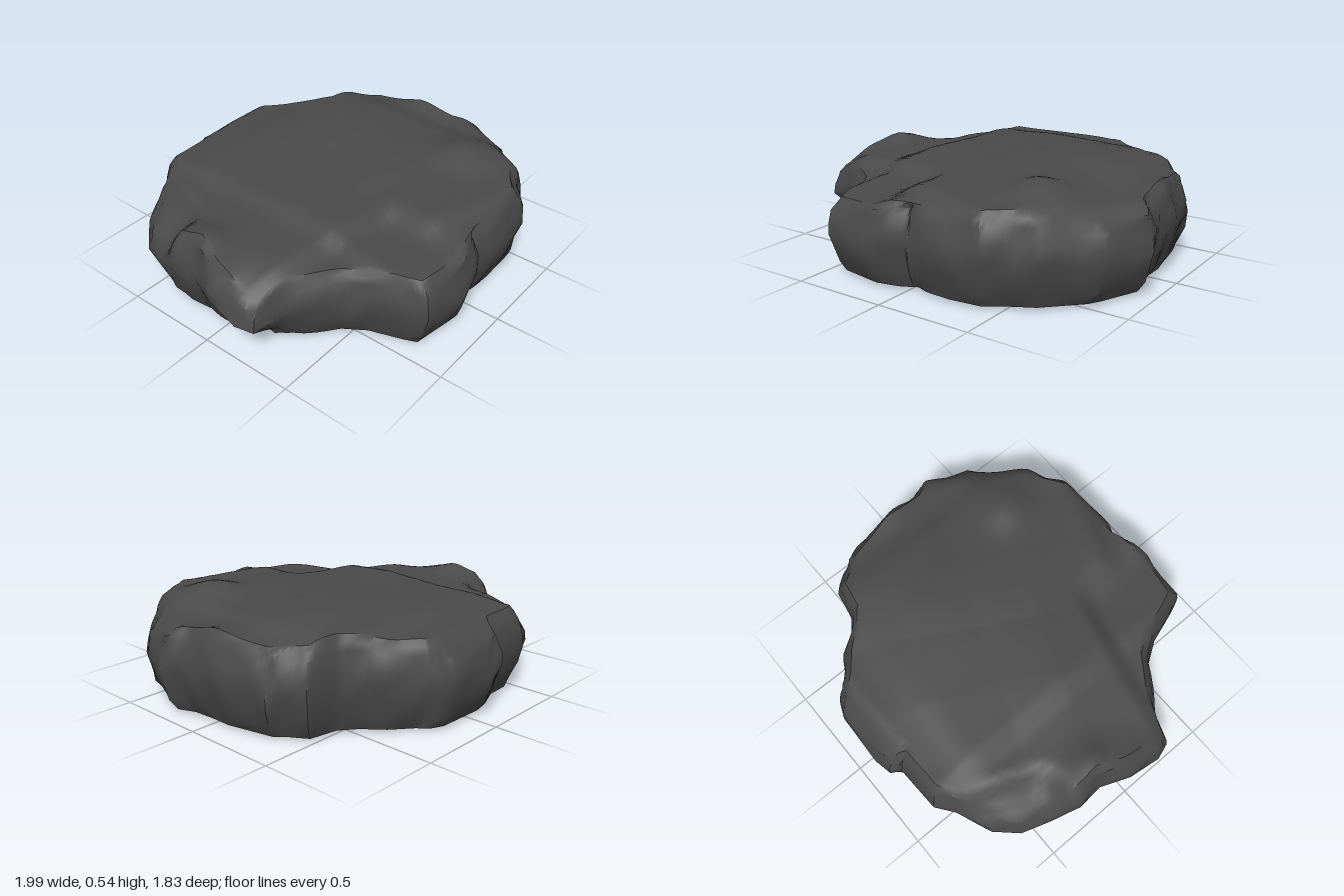
import * as THREE from 'three';
import { toCreasedNormals } from 'three/addons/utils/BufferGeometryUtils.js';

// Widest outline as x, z pairs, counter-clockwise seen from above
const OUTLINE = [
  0.99, 0.25, 0.95, 0.15, 0.94, 0.02, 0.94, -0.1, 0.9, -0.28, 0.88, -0.37, 0.84, -0.41, 0.77, -0.52,
  0.61, -0.55, 0.52, -0.62, 0.43, -0.73, 0.32, -0.82, 0.27, -0.88, 0.2, -0.91, -0.08, -0.92,
  -0.18, -0.9, -0.21, -0.85, -0.46, -0.84, -0.55, -0.77, -0.73, -0.69, -0.83, -0.58, -0.89, -0.4,
  -0.93, -0.28, -0.92, -0.14, -0.98, 0.02, -1, 0.2, -0.97, 0.29, -0.82, 0.34, -0.6, 0.5,
  -0.52, 0.62, -0.46, 0.8, -0.43, 0.87, -0.18, 0.91, 0.02, 0.87, 0.05, 0.86, 0.27, 0.87,
  0.45, 0.85, 0.55, 0.78, 0.68, 0.71, 0.86, 0.53, 0.9, 0.46,
];
const SPLIT = 4;

const step = (t) => THREE.MathUtils.smoothstep(t, -1, 1);
const bump = (x, z, cx, cz, r) => Math.exp(-((x - cx) ** 2 + (z - cz) ** 2) / (r * r));
const zigzag = (t) => 2 * Math.abs(2 * (t - Math.floor(t + 0.5))) - 1;

// Height of the upper surface
function topHeight(x, z) {
  // Plateau, peak and raised rims
  let h = 0.475 + 0.06 * bump(x, z, 0.5, 0.44, 0.15) + 0.05 * bump(x, z, 0.25, -0.15, 0.42);
  h += 0.035 * bump(x, z, 0.9, -0.05, 0.13) + 0.035 * bump(x, z, -0.82, -0.12, 0.1);
  h -= 0.035 * step((-0.47 - x) / 0.06) + 0.03 * step((x - 0.7) / 0.08);
  // Front ledge
  const frontLeft = step((z - 0.44 - 0.2 * x) / 0.06) * step((-0.12 - x) / 0.08);
  const frontRight = step((z - 0.7 - 0.3 * x) / 0.07) * step((x + 0.12) / 0.08);
  h -= (0.05 + 0.08 * Math.max(z - 0.45, 0)) * frontLeft + 0.045 * frontRight;
  // Low overhanging tip and broken back corner
  h -= 0.09 * bump(x, z, -0.98, 0.24, 0.14);
  const corner = -0.936 * (x + 0.62) - 0.351 * (z + 0.5);
  h -= (0.05 + 0.65 * Math.max(corner, 0)) * step(corner / 0.05) * step((-0.33 - z) / 0.08);
  // Worn edges at the back and front left
  h -= 0.02 * step((-0.62 - z) / 0.1) + 0.065 * step((-0.83 - z) / 0.06);
  h -= 0.08 * step((0.83 * x + 0.56 * z - 0.92) / 0.09);
  // Shallow slabs across the top
  return h + 0.006 * zigzag(1.3 * x + 0.7 * z) + 0.006 * zigzag(1.5 * z - 0.6 * x + 0.2);
}

function rockGeometry() {
  // Subdivided outline
  const rim = [];
  const n = OUTLINE.length / 2;
  for (let i = 0; i < n; i++) {
    const k = ((i + 1) % n) * 2;
    for (let s = 0; s < SPLIT; s++) {
      const t = s / SPLIT;
      rim.push([
        THREE.MathUtils.lerp(OUTLINE[2 * i], OUTLINE[k], t),
        THREE.MathUtils.lerp(OUTLINE[2 * i + 1], OUTLINE[k + 1], t),
      ]);
    }
  }
  const m = rim.length;
  const pos = [];
  const index = [];

  // Rings [scale, height] from the middle of the underside up the flank
  const flank = [[0, 0], [0.5, 0.005], [0.915, 0.015], [0.957, 0.08], [0.98, 0.16], [1, 0.25], [0.993, 0.32], [0.97, 0.39], [0.95, 0.425]];
  flank.forEach(([s, y], r) => {
    rim.forEach(([x, z], j) => {
      // Undercut below the overhang, a cleft in front, and chipped facets
      const under = 0.15 * bump(x, z, -1, 0.22, 0.2) * step((0.17 - y) / 0.06) + (r > 1 ? 0.03 * bump(x, z, 0.035, 0.87, 0.05) : 0);
      const chip = r > 2 && s < 1 ? 0.01 * zigzag((j / m) * 23 + 0.17 * r) + 0.007 * zigzag((j / m) * 14 - 0.3 * r) - 0.004 : 0;
      const k = s * (1 - under) + chip;
      const lift = r > 2 ? topHeight(x * 0.92, z * 0.92) / 0.455 : 1;
      pos.push(x * k, y * lift, z * k);
    });
  });

  // Rings of the upper surface, from the rim inward
  const tops = [0.92, 0.89];
  for (let i = 1; i <= 26; i++) tops.push(0.89 * (1 - i / 26));
  tops.forEach((s) => rim.forEach(([x, z]) => pos.push(x * s, topHeight(x * s, z * s), z * s)));

  const last = flank.length + tops.length - 2;
  for (let r = 0; r <= last; r++) {
    for (let j = 0; j < m; j++) {
      const a = r * m + j, b = r * m + ((j + 1) % m);
      if (r > 0) index.push(a, b, b + m);
      if (r < last) index.push(a, b + m, a + m);
    }
  }
  const g = new THREE.BufferGeometry();
  g.setAttribute('position', new THREE.Float32BufferAttribute(pos, 3));
  g.setIndex(index);
  return toCreasedNormals(g, 0.7);
}

export function createModel() {
  const group = new THREE.Group();
  group.name = 'flatRock';
  const stone = new THREE.MeshStandardMaterial({ color: 0x4a4a4a });
  stone.name = 'darkStone';
  const rock = new THREE.Mesh(rockGeometry(), stone);
  rock.name = 'rock';
  group.add(rock);
  return group;
}
